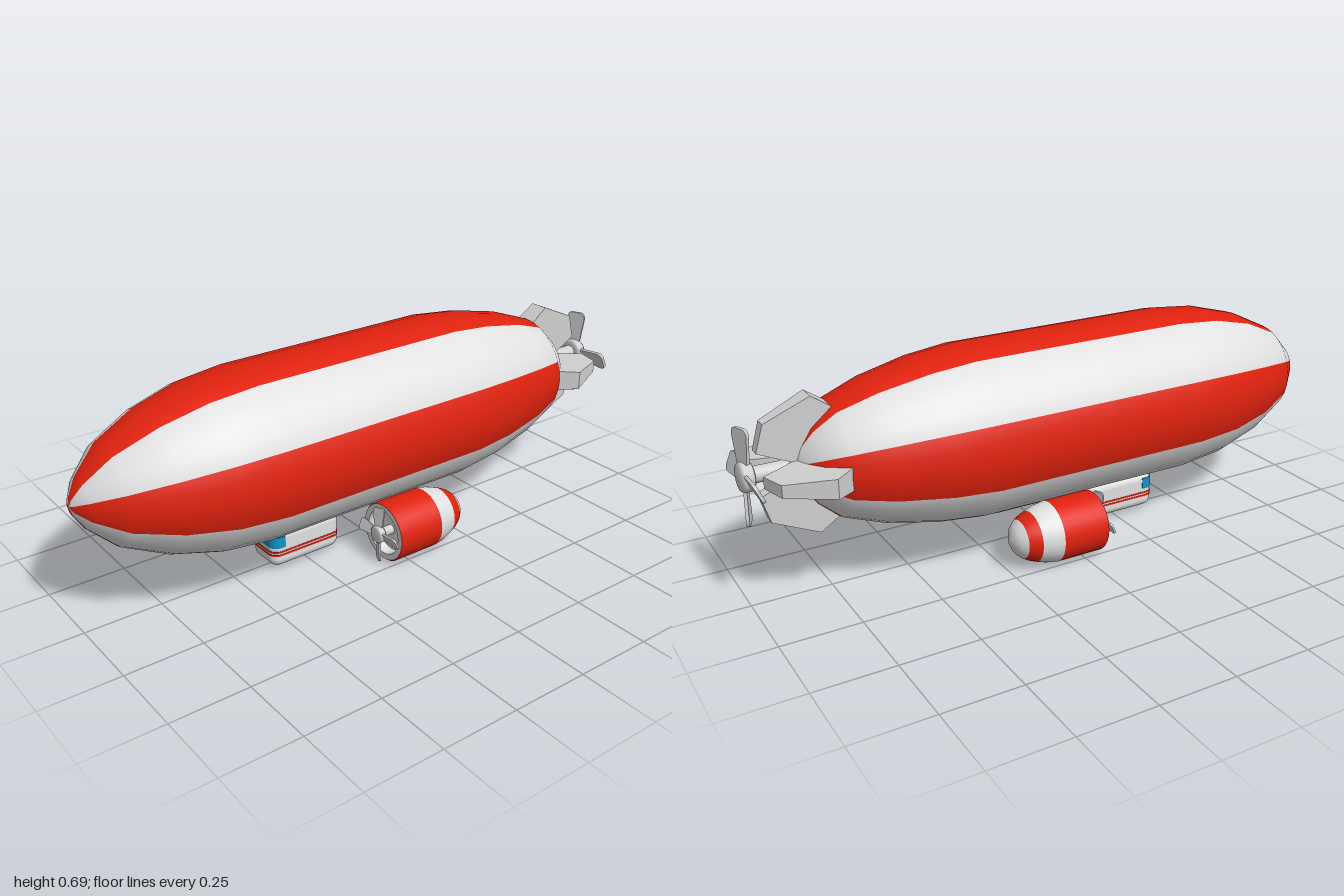
import * as THREE from 'three';
import { RoundedBoxGeometry } from 'three/addons/geometries/RoundedBoxGeometry.js';

const AXIS_Y = 0.414;

export function createModel() {
  const mat = (name, color, side = THREE.FrontSide) => {
    const m = new THREE.MeshStandardMaterial({ color, side });
    m.name = name;
    return m;
  };
  const white = mat('white', 0xe0e0e0);
  const red = mat('red', 0xe0220e);
  const grey = mat('light grey', 0xd0d0d0);
  const blue = mat('window blue', 0x1193c9);

  const model = new THREE.Group();
  model.name = 'airship';

  const add = (parent, name, geometry, material) => {
    const mesh = new THREE.Mesh(geometry, material);
    mesh.name = name;
    parent.add(mesh);
    return mesh;
  };
  const group = (parent, name, x = 0, y = 0, z = 0) => {
    const g = new THREE.Group();
    g.name = name;
    g.position.set(x, y, z);
    parent.add(g);
    return g;
  };
  // Surface of revolution about x; points are [x, radius]; angle runs from +z towards -y
  const revolve = (points, start = 0, sweep = Math.PI * 2, segments = 32) =>
    new THREE.LatheGeometry(points.map(([x, r]) => new THREE.Vector2(r, x)), segments, start, sweep)
      .rotateZ(-Math.PI / 2);

  // Hull: eight gores, alternately red and white
  const hull = group(model, 'hull', 0, AXIS_Y, 0);
  const body = [[-1, 0], [-0.995, 0.025], [-0.965, 0.075], [-0.885, 0.152], [-0.75, 0.217], [-0.6, 0.258],
    [-0.443, 0.274], [-0.1, 0.274], [0.293, 0.274], [0.437, 0.258], [0.6, 0.222], [0.72, 0.178]];
  const tail = [[0.72, 0.178], [0.784, 0.122], [0.82, 0.065], [0.835, 0.03], [0.838, 0]];
  const profile = [...body, ...tail.slice(1)];
  const gore = Math.PI / 4;
  for (let i = 0; i < 8; i++) {
    const start = (i - 0.5) * gore;
    if (i === 0 || i === 2) {
      // These two gores have one white half at the tail
      add(hull, 'redGore', revolve(body, start, gore, 4), red);
      add(hull, 'whiteTailPanel', revolve(tail, start, gore / 2, 2), white);
      add(hull, 'redTailPanel', revolve(tail, start + gore / 2, gore / 2, 2), red);
    } else {
      add(hull, i % 2 ? 'whiteGore' : 'redGore', revolve(profile, start, gore, 4), i % 2 ? white : red);
    }
  }

  // Four tail fins, thick at the leading edge and thinner behind
  const finShape = new THREE.Shape([[0.72, 0.02], [0.837, 0.02], [0.945, 0.068], [0.92, 0.152], [0.78, 0.214], [0.72, 0.172]]
    .map(([x, y]) => new THREE.Vector2(x, y)));
  const finGeo = new THREE.ExtrudeGeometry(finShape, { depth: 2, bevelEnabled: false }).translate(0, 0, -1);
  const p = finGeo.attributes.position;
  for (let i = 0; i < p.count; i++) {
    const t = (p.getX(i) - 0.72) / 0.225;
    p.setZ(i, p.getZ(i) * THREE.MathUtils.lerp(0.035, 0.018, t));
  }
  finGeo.computeVertexNormals();
  for (let k = 0; k < 4; k++) add(hull, 'tailFin', finGeo, grey).rotation.x = k * Math.PI / 2;

  // Four-bladed propeller turning about x
  const blade = new THREE.Shape();
  blade.moveTo(-0.017, 0.01);
  blade.lineTo(-0.032, 0.125);
  blade.quadraticCurveTo(-0.032, 0.145, -0.018, 0.148);
  blade.lineTo(0.018, 0.148);
  blade.quadraticCurveTo(0.032, 0.145, 0.032, 0.125);
  blade.lineTo(0.017, 0.01);
  const bladeGeo = new THREE.ExtrudeGeometry(blade, { depth: 0.01, bevelEnabled: false, curveSegments: 4 })
    .translate(0, 0, -0.005).rotateY(Math.PI / 2 + 0.4);
  const hubGeo = revolve([[-0.022, 0], [-0.022, 0.036], [-0.014, 0.046], [0.008, 0.046], [0.018, 0.038], [0.022, 0]], 0, Math.PI * 2, 24);
  const propeller = (parent, name, x, scale) => {
    const prop = group(parent, name, x);
    prop.scale.setScalar(scale);
    add(prop, 'hub', hubGeo, grey);
    for (let k = 0; k < 4; k++) add(prop, 'blade', bladeGeo, grey).rotation.x = k * Math.PI / 2;
  };
  add(hull, 'tailShaft', new THREE.CylinderGeometry(0.025, 0.025, 0.16, 20).rotateZ(Math.PI / 2).translate(0.895, 0, 0), grey);
  propeller(hull, 'tailPropeller', 0.978, 1);

  // Engine pods, one on each side
  for (const side of [1, -1]) {
    const pod = group(model, side > 0 ? 'frontPod' : 'rearPod', 0, 0.1, side * 0.197);
    add(pod, 'intake', revolve([[-0.03, 0], [-0.03, 0.07]]), white);
    add(pod, 'intakeWall', revolve([[-0.03, 0.07], [-0.062, 0.074]]), white);
    add(pod, 'rim', revolve([[-0.062, 0.074], [-0.062, 0.094]]), white);
    add(pod, 'redCowl', revolve([[-0.062, 0.094], [-0.057, 0.098], [0.1, 0.098]]), red);
    add(pod, 'whiteBand', revolve([[0.1, 0.098], [0.135, 0.092], [0.168, 0.081]]), white);
    add(pod, 'redBand', revolve([[0.168, 0.081], [0.19, 0.072], [0.207, 0.062]]), red);
    add(pod, 'tailCap', revolve([[0.207, 0.062], [0.224, 0.046], [0.235, 0.026], [0.24, 0]]), white);
    add(pod, 'podShaft', new THREE.CylinderGeometry(0.016, 0.016, 0.06, 16).rotateZ(Math.PI / 2).translate(-0.055, 0, 0), grey);
    propeller(pod, 'podPropeller', -0.08, 0.63);
  }

  // Gondola below the hull
  const gondola = group(model, 'gondola', -0.262, 0, 0);
  const L = 0.1275, W = 0.065, R = 0.03;
  add(gondola, 'cabin', new RoundedBoxGeometry(L * 2, 0.128, W * 2, 5, R).translate(0, 0.079, 0), white);

  // Horizontal slab following the cabin outline, from its nose back to xEnd
  const band = (name, y, height, xEnd, material) => {
    const e = 0.001, l = L + e, w = W + e, s = new THREE.Shape();
    const full = xEnd >= l;
    s.moveTo(-l + R, -w);
    if (full) {
      s.lineTo(l - R, -w);
      s.absarc(l - R, -w + R, R, -Math.PI / 2, 0);
      s.absarc(l - R, w - R, R, 0, Math.PI / 2);
    } else {
      s.lineTo(xEnd, -w);
      s.lineTo(xEnd, w);
    }
    s.lineTo(-l + R, w);
    s.absarc(-l + R, w - R, R, Math.PI / 2, Math.PI);
    s.absarc(-l + R, -w + R, R, Math.PI, Math.PI * 1.5);
    const geo = new THREE.ExtrudeGeometry(s, { depth: height, bevelEnabled: false, curveSegments: 6 });
    add(gondola, name, geo.rotateX(-Math.PI / 2).translate(0, y, 0), material);
  };
  band('lowerStripe', 0.057, 0.006, L + 0.001, red);
  band('upperStripe', 0.068, 0.006, L + 0.001, red);
  band('windscreen', 0.086, 0.038, -0.083, blue);

  return model;
}
